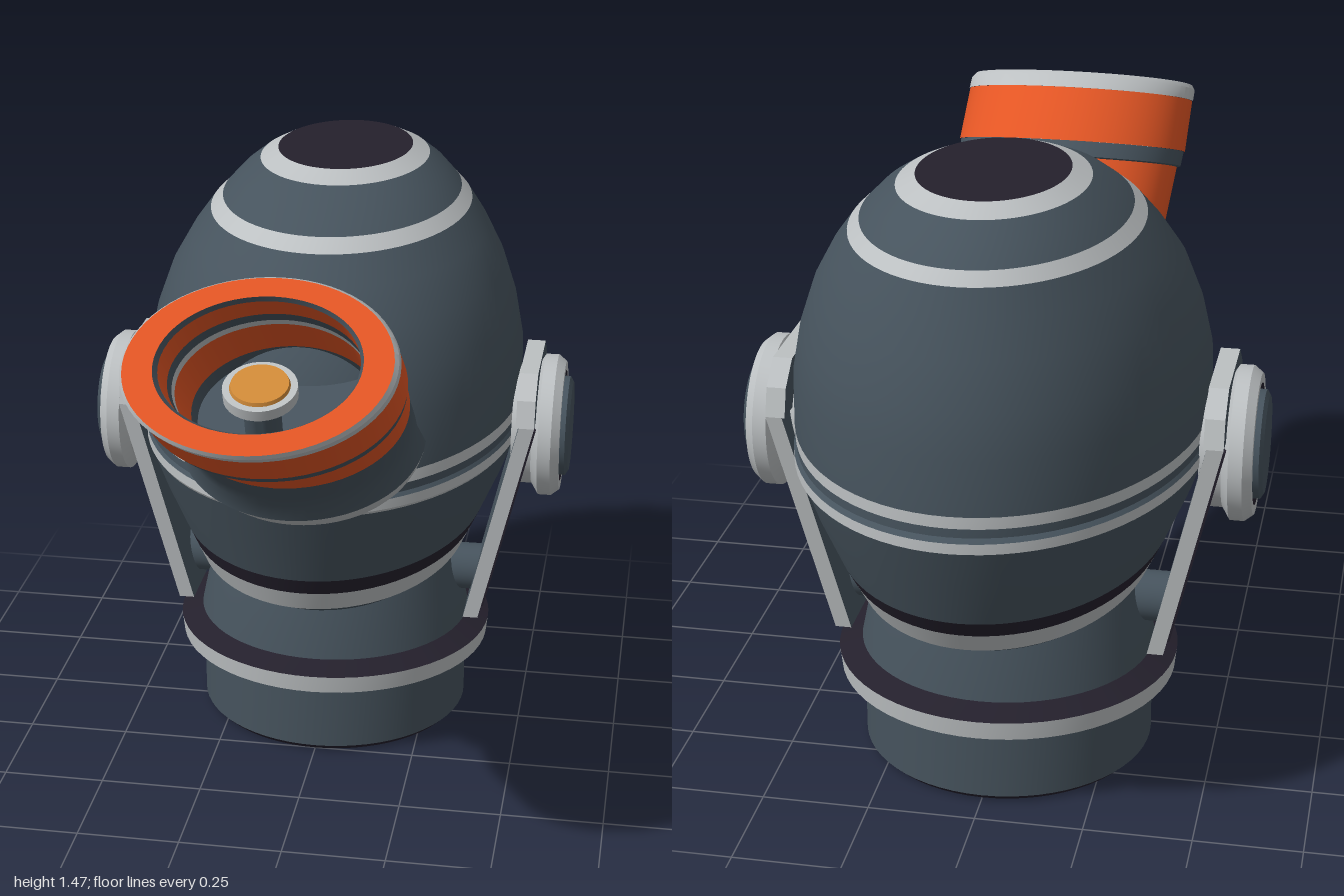
import * as THREE from 'three';
import { toCreasedNormals } from 'three/addons/utils/BufferGeometryUtils.js';

const paint = (name, color) => {
  const m = new THREE.MeshStandardMaterial({ color });
  m.name = name;
  return m;
};

// Skin through elliptical rings [y, z, radiusX, radiusZ, tilt]; rings listed upwards face outwards
function loft(rings, segments = 64) {
  const pos = [], index = [];
  rings.forEach(([y, z, a, b = a, tilt = 0], i) => {
    for (let j = 0; j < segments; j++) {
      const t = (j / segments) * Math.PI * 2;
      pos.push(a * Math.sin(t), y - b * Math.cos(t) * Math.sin(tilt), z + b * Math.cos(t) * Math.cos(tilt));
      if (i === rings.length - 1) continue;
      const p = i * segments + j, q = i * segments + ((j + 1) % segments);
      index.push(p, q, q + segments, p, q + segments, p + segments);
    }
  });
  const g = new THREE.BufferGeometry();
  g.setAttribute('position', new THREE.Float32BufferAttribute(pos, 3));
  g.setIndex(index);
  return toCreasedNormals(g, 0.5);
}

// Symmetrical plate outline from [halfWidth, y] pairs, extruded towards +x and leaned outwards
function plate(halves, x, depth, slope = 0, y0 = 0) {
  const right = halves.map(([w, y]) => new THREE.Vector2(w, y));
  const left = halves.map(([w, y]) => new THREE.Vector2(-w, y)).reverse();
  const g = new THREE.ExtrudeGeometry(new THREE.Shape([...right, ...left]), { depth, bevelEnabled: false });
  g.rotateY(Math.PI / 2);
  const p = g.attributes.position;
  for (let i = 0; i < p.count; i++) p.setX(i, p.getX(i) + x + slope * (p.getY(i) - y0));
  g.computeVertexNormals();
  return g;
}

export function createModel() {
  const slate = paint('slate', 0x46535d);
  const silver = paint('silver', 0xbcc0c2);
  const dark = paint('dark', 0x24202c);
  const orange = paint('orange', 0xe25524);
  const gold = paint('gold', 0xd08a38);

  const model = new THREE.Group();
  const add = (parent, name, geometry, material) => {
    const m = new THREE.Mesh(geometry, material);
    m.name = name;
    parent.add(m);
    return m;
  };
  const group = (name, parent = model) => {
    const g = new THREE.Group();
    g.name = name;
    parent.add(g);
    return g;
  };
  const CZ = -0.33;

  // Base collar: hollow below, with a flange and a tapered neck
  const base = group('base');
  const round = (name, pts, mat) => add(base, name, loft(pts.map(([r, y]) => [y, CZ, r])), mat);
  round('baseEdge', [[0.315, 0], [0.33, 0], [0.345, 0.015]], dark);
  round('baseWall', [[0.345, 0.015], [0.345, 0.17]], slate);
  round('flange', [[0.345, 0.17], [0.4, 0.2], [0.405, 0.245]], silver);
  round('flangeTop', [[0.405, 0.245], [0.35, 0.267]], dark);
  round('neck', [[0.35, 0.267], [0.335, 0.34], [0.315, 0.42], [0.3, 0.47]], slate);
  round('innerLip', [[0.315, 0.05], [0.315, 0]], silver);
  round('innerWall', [[0.315, 0.13], [0.315, 0.05]], dark);
  round('innerCeiling', [[0, 0.13], [0.315, 0.13]], slate);

  // Egg-shaped head, banded: rows of [y, frontZ, backZ, halfWidth]
  const head = group('head');
  const shell = (name, rows, mat) => add(head, name,
    loft(rows.map(([y, f, b, x]) => [y, (f + b) / 2, x, (f - b) / 2]), 80), mat);
  shell('underside', [[0.39, -0.33, -0.34, 0.005], [0.4, 0, -0.67, 0.24], [0.43, 0.07, -0.73, 0.275]], dark);
  shell('bowl', [[0.43, 0.07, -0.73, 0.275], [0.46, 0.125, -0.79, 0.31], [0.488, 0.18, -0.84, 0.34]], slate);
  shell('lowerBand', [[0.488, 0.18, -0.84, 0.34], [0.541, 0.205, -0.873, 0.365]], silver);
  shell('lowerStripe', [[0.541, 0.205, -0.873, 0.365], [0.584, 0.225, -0.9, 0.385]], dark);
  shell('lowerShell', [[0.584, 0.225, -0.9, 0.385], [0.7, 0.275, -0.95, 0.435], [0.793, 0.315, -0.985, 0.467]], slate);
  shell('seamBand', [[0.793, 0.315, -0.985, 0.467], [0.8, 0.32, -1, 0.473], [0.824, 0.32, -1, 0.473]], silver);
  shell('seamGroove', [[0.824, 0.32, -1, 0.473], [0.832, 0.31, -0.987, 0.468], [0.852, 0.31, -0.987, 0.468]], slate);
  shell('upperSeamBand', [[0.852, 0.31, -0.987, 0.47], [0.879, 0.305, -0.987, 0.47]], silver);
  shell('upperShell', [[0.879, 0.305, -0.987, 0.47], [1, 0.28, -0.981, 0.467], [1.1, 0.24, -0.965, 0.447],
    [1.2, 0.18, -0.932, 0.412], [1.28, 0.1, -0.9, 0.367], [1.34, 0.035, -0.875, 0.323]], slate);
  shell('crownBand', [[1.34, 0.035, -0.875, 0.323], [1.368, -0.01, -0.85, 0.295]], silver);
  shell('crown', [[1.368, -0.01, -0.85, 0.295], [1.41, -0.09, -0.805, 0.255], [1.443, -0.18, -0.755, 0.21]], slate);
  shell('topBand', [[1.443, -0.18, -0.755, 0.21], [1.465, -0.245, -0.7, 0.167]], silver);
  shell('topCap', [[1.465, -0.245, -0.7, 0.167], [1.465, -0.472, -0.473, 0.0005]], dark);

  // Sheared snout: round sections tilted forwards, rows of [z, y, radius]
  const TILT = 0.345;
  const snout = group('snout');
  const tube = (name, rows, mat) => add(snout, name, loft(rows.map(([z, y, r]) => [y, z, r, r, TILT])), mat);
  tube('rootCollar', [[0.05, 0.86, 0.26], [0.075, 0.87, 0.27], [0.165, 0.935, 0.288]], silver);
  tube('root', [[0.165, 0.935, 0.288], [0.2, 0.97, 0.27], [0.25, 1.01, 0.265], [0.315, 1.065, 0.267]], slate);
  tube('lowerSleeve', [[0.315, 1.065, 0.267], [0.51, 1.177, 0.275]], orange);
  tube('sleeveBand', [[0.51, 1.177, 0.275], [0.513, 1.179, 0.284], [0.55, 1.206, 0.287]], slate);
  tube('upperSleeve', [[0.55, 1.206, 0.29], [0.685, 1.302, 0.29]], orange);
  tube('rimBand', [[0.685, 1.302, 0.292], [0.72, 1.322, 0.292], [0.733, 1.33, 0.284]], silver);
  tube('rimFace', [[0.733, 1.33, 0.284], [0.733, 1.33, 0.22]], orange);
  tube('rimLip', [[0.733, 1.33, 0.22], [0.72, 1.32, 0.212]], slate);

  // Snout lining, running inwards by depth along the snout
  const lining = (name, from, to, mat, end = 0.212) => tube(name,
    [[from, 0.212], [to, end]].map(([d, r]) => [0.733 - 0.82 * d, 1.33 - 0.57 * d, r]), mat);
  lining('liningOuter', 0.016, 0.12, orange);
  lining('liningStripe', 0.12, 0.17, slate);
  lining('liningBand', 0.17, 0.205, silver);
  lining('liningInner', 0.205, 0.4, orange);
  lining('liningEnd', 0.4, 0.48, slate);
  lining('liningFloor', 0.48, 0.48, slate, 0.0005);

  // Small lamp standing inside the snout
  const lamp = group('lamp', snout);
  lamp.position.set(0, 1.274, 0.713);
  lamp.rotation.x = TILT;
  add(lamp, 'lampStem', loft([[-0.22, 0, 0.04], [-0.03, 0, 0.04]], 32), slate);
  add(lamp, 'lampRing', loft([[-0.03, 0, 0], [-0.03, 0, 0.08], [-0.004, 0, 0.08], [-0.004, 0, 0]], 32), silver);
  add(lamp, 'lampLens', loft([[-0.004, 0, 0.065], [0.004, 0, 0.062], [0.004, 0, 0]], 32), gold);

  // Side straps and dials, the second pair turned half round
  ['left', 'right'].forEach((side, i) => {
    const g = group(side + 'Strap');
    g.position.z = CZ;
    g.rotation.y = i * Math.PI;
    const skins = [slate, silver];
    add(g, 'strap', plate([[0.14, 0.31], [0.2, 0.865]], 0.352, 0.038, 0.234, 0.31), skins);
    add(g, 'strapPanel', plate([[0.12, 0.335], [0.178, 0.85]], 0.39, 0.006, 0.234, 0.31), dark);
    add(g, 'strapHead', plate([[0.2, 0.865], [0.18, 0.93], [0.12, 0.98]], 0.475, 0.045), skins);

    const foot = add(g, 'strapFoot', new THREE.CylinderGeometry(0.06, 0.06, 0.09, 32), slate);
    foot.rotation.z = Math.PI / 2;
    foot.position.set(0.345, 0.39, 0);

    const dial = group(side + 'Dial', g);
    dial.position.y = 0.8;
    dial.rotation.z = -Math.PI / 2;
    add(dial, 'dialRim', loft([[0.46, 0, 0.15], [0.51, 0, 0.15], [0.528, 0, 0.178], [0.56, 0, 0.178], [0.58, 0, 0.162], [0.58, 0, 0.14]]), silver);
    add(dial, 'dialGroove', loft([[0.58, 0, 0.14], [0.574, 0, 0.124]]), dark);
    add(dial, 'dialCap', loft([[0.57, 0, 0.125], [0.592, 0, 0.125], [0.6, 0, 0.112], [0.6, 0, 0]]), slate);
  });

  return model;
}
